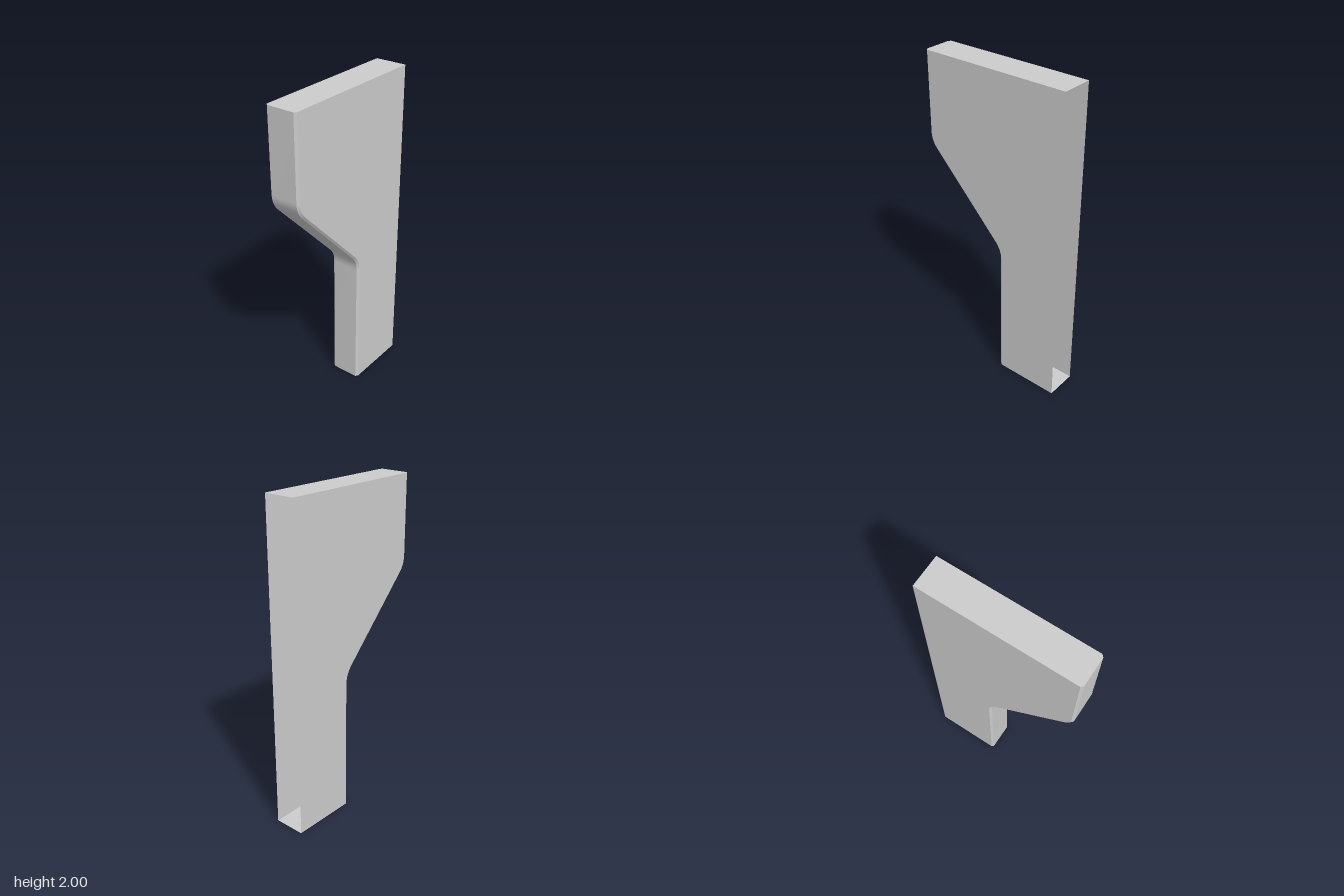
import * as THREE from 'three';

const HALF_W = 0.0975, CHAMFER = 0.0125, BACK = -0.475;
const HEIGHT = 2, Z_TOP = 0.475, Z_LOW = -0.055;
const Y_UPPER = 1.447, Y_LOWER = 0.893; // corners of the slope before rounding
const TANGENT = 0.06, ARC_STEPS = 10;

const material = new THREE.MeshStandardMaterial({ color: 0xcccccc, side: THREE.DoubleSide });

// Front edge from top to bottom: position (z, y) and outward normal (nz, ny)
function frontProfile() {
  const theta = Math.atan2(Z_TOP - Z_LOW, Y_UPPER - Y_LOWER);
  const r = TANGENT / Math.tan(theta / 2);
  const points = [{ z: Z_TOP, y: HEIGHT, nz: 1, ny: 0 }];
  const arc = (cz, cy, radius, from, to) => {
    for (let i = 0; i <= ARC_STEPS; i++) {
      const a = from + (to - from) * i / ARC_STEPS;
      const nz = Math.cos(a), ny = Math.sin(a);
      points.push({ z: cz + radius * nz, y: cy + radius * ny, nz, ny });
    }
  };
  arc(Z_TOP - r, Y_UPPER + TANGENT, r, 0, -theta);
  arc(Z_LOW + r, Y_LOWER - TANGENT, -r, -theta, 0);
  points.push({ z: Z_LOW, y: 0, nz: 1, ny: 0 });
  return points;
}

// Strip of quads between two rails running from top to bottom
function stripGeometry(railA, railB) {
  const positions = [], index = [];
  railA.forEach((a, i) => {
    positions.push(...a, ...railB[i]);
    if (i > 0) {
      const k = 2 * i;
      index.push(k - 2, k - 1, k + 1, k - 2, k + 1, k);
    }
  });
  const geometry = new THREE.BufferGeometry();
  geometry.setAttribute('position', new THREE.Float32BufferAttribute(positions, 3));
  geometry.setIndex(index);
  geometry.computeVertexNormals();
  return geometry;
}

// Chamfered end plate; side is 1 for the top and -1 for the bottom
function capGeometry(front, y, side) {
  const outline = [
    [-HALF_W, BACK], [HALF_W, BACK], [HALF_W, front - CHAMFER],
    [HALF_W - CHAMFER, front], [CHAMFER - HALF_W, front], [-HALF_W, front - CHAMFER],
  ];
  const shape = new THREE.Shape(outline.map(([x, z]) => new THREE.Vector2(x, -side * z)));
  return new THREE.ShapeGeometry(shape).rotateX(-side * Math.PI / 2).translate(0, y, 0);
}

export function createModel() {
  const group = new THREE.Group();
  group.name = 'steppedPanel';
  const add = (name, geometry) => {
    const mesh = new THREE.Mesh(geometry, material);
    mesh.name = name;
    group.add(mesh);
  };

  // Rails of the open-backed shell, from the left back edge round to the right
  const profile = frontProfile();
  const inset = (x, d) => profile.map(p => [x, p.y - d * p.ny, p.z - d * p.nz]);
  const back = x => inset(x, CHAMFER).map(([px, y]) => [px, y, BACK]);
  const rails = [
    back(HALF_W), inset(HALF_W, CHAMFER), inset(HALF_W - CHAMFER, 0),
    inset(CHAMFER - HALF_W, 0), inset(-HALF_W, CHAMFER), back(-HALF_W),
  ];
  const names = ['leftWall', 'leftChamfer', 'frontFace', 'rightChamfer', 'rightWall'];
  names.forEach((name, i) => add(name, stripGeometry(rails[i], rails[i + 1])));

  // End plates
  add('topPlate', capGeometry(Z_TOP, HEIGHT, 1));
  add('bottomPlate', capGeometry(Z_LOW, 0, -1));
  return group;
}
